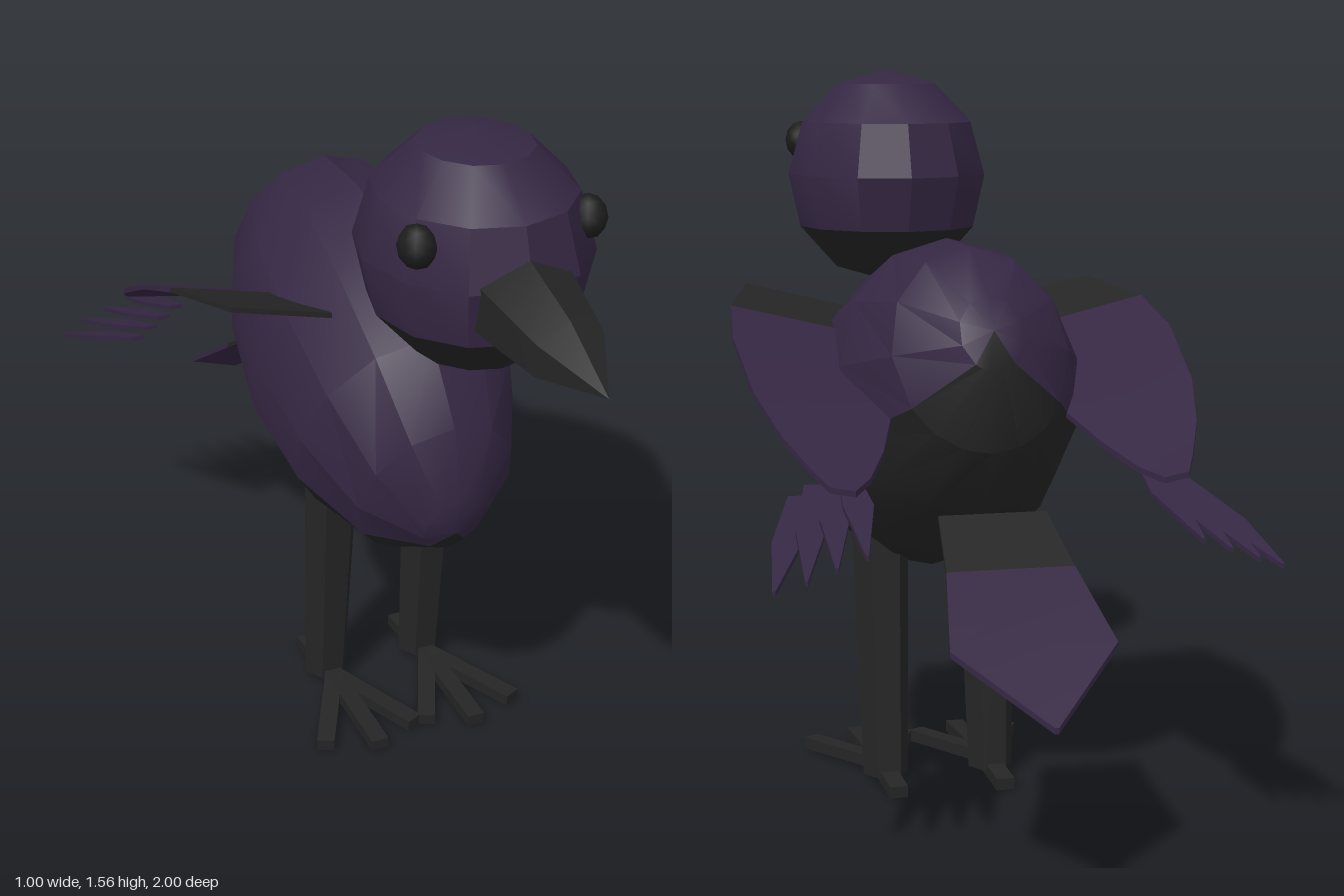
import * as THREE from 'three';
import { toCreasedNormals } from 'three/addons/utils/BufferGeometryUtils.js';

const material = (name, color) => {
  const m = new THREE.MeshStandardMaterial({ color, side: THREE.DoubleSide });
  m.name = name;
  return m;
};
const V = (x, y, z) => new THREE.Vector3(x, y, z);

// Surface through rows of points; rows run back to front, each row counter-clockwise
function skin(rows, crease = 0.5) {
  const out = [];
  const tri = (a, b, c) => {
    const n = b.clone().sub(a).cross(c.clone().sub(a));
    if (n.length() > 1e-8) [a, b, c].forEach(p => out.push(p.x, p.y, p.z));
  };
  for (let i = 0; i < rows.length - 1; i++) {
    for (let j = 0; j < rows[i].length - 1; j++) {
      const a = rows[i][j], b = rows[i][j + 1], c = rows[i + 1][j + 1], d = rows[i + 1][j];
      tri(a, b, c);
      tri(a, c, d);
    }
  }
  const g = new THREE.BufferGeometry();
  g.setAttribute('position', new THREE.Float32BufferAttribute(out, 3));
  return toCreasedNormals(g, crease);
}

// Thin plate from rows [z, x1, x2, y1, y2], mirrored by side
function plate(rows, side = 1, t = 0.006) {
  const rings = rows.map(([z, x1, x2, y1, y2]) => {
    let a = V(x1 * side, y1, z), b = V(x2 * side, y2, z);
    if (side < 0) [a, b] = [b, a];
    return [V(b.x, b.y - t, z), V(b.x, b.y + t, z), V(a.x, a.y + t, z), V(a.x, a.y - t, z), V(b.x, b.y - t, z)];
  });
  const cap = r => {
    const c = r[0].clone().add(r[2]).multiplyScalar(0.5);
    return r.map(() => c);
  };
  return skin([cap(rings[0]), ...rings, cap(rings[rings.length - 1])]);
}

export function createModel() {
  const bird = new THREE.Group();
  bird.name = 'bird';
  const purple = material('purple plumage', 0x352743);
  const black = material('black', 0x252525);
  const eyeBlack = material('eye black', 0x1c1c1c);
  const add = (name, geo, mat) => {
    const m = new THREE.Mesh(geo, mat);
    m.name = name;
    bird.add(m);
    return m;
  };

  // Body: tilted egg, [distance along axis, radius] from tail to chest
  const profile = [[0.517, 0], [0.5, 0.08], [0.4, 0.22], [0.23, 0.305], [0, 0.337],
    [-0.21, 0.303], [-0.385, 0.212], [-0.485, 0.08], [-0.505, 0]];
  const bodyRows = (belly, n) => profile.map(([s, r]) => {
    const low = -Math.asin(Math.min(0.12 / Math.max(r, 0.01), 0.8));
    const from = belly ? Math.PI - low : low;
    const to = belly ? 2 * Math.PI + low : Math.PI - low;
    return Array.from({ length: n + 1 }, (_, j) => {
      const a = from + (to - from) * j / n, t = Math.sin(a) * r;
      return V(Math.cos(a) * r * 0.84, 0.84 + 0.431 * s + 0.903 * t, -0.08 - 0.903 * s + 0.431 * t);
    });
  });
  add('bodyBack', skin(bodyRows(false, 8)), purple);
  add('bodyBelly', skin(bodyRows(true, 6)), black);

  // Head: dark throat below the crown
  const split = Math.PI * 0.655;
  const headPart = (name, rows, start, length, mat) => {
    const g = new THREE.SphereGeometry(1, 12, rows, 0, Math.PI * 2, start, length);
    g.scale(0.235, 0.247, 0.262);
    g.translate(0, 1.315, 0.43);
    add(name, toCreasedNormals(g, 0.5), mat);
  };
  headPart('crown', 4, 0, split, purple);
  headPart('throat', 2, split, Math.PI - split, black);

  // Beak: six-sided, tapering to a point; [z, centre y, half width, half height]
  const beak = [[0.6, 1.29, 0.1, 0.1], [0.67, 1.286, 0.095, 0.095], [0.84, 1.263, 0.07, 0.067], [0.995, 1.245, 0, 0]];
  add('beak', skin(beak.map(([z, y, w, h]) => Array.from({ length: 7 }, (_, j) => {
    const a = Math.PI / 6 + j * Math.PI / 3;
    return V(Math.cos(a) * w * 1.15, y + Math.sin(a) * h, z);
  })), 0.4), black);

  // Tail fan
  add('tail', plate([[-1, -0.004, 0.004, 0.378, 0.378], [-0.85, -0.165, 0.165, 0.493, 0.493],
    [-0.68, -0.13, 0.13, 0.605, 0.605]]), purple);
  add('tailBase', plate([[-0.68, -0.13, 0.13, 0.605, 0.605], [-0.54, -0.112, 0.112, 0.688, 0.688]]), black);

  // Straight bar between two points
  const bar = (name, a, b, w, h) => {
    const m = add(name, new THREE.BoxGeometry(w, h, a.distanceTo(b)), black);
    m.position.copy(a).lerp(b, 0.5);
    m.lookAt(b);
  };

  for (const side of [1, -1]) {
    const label = side > 0 ? 'left' : 'right';

    // Eye
    const eye = add(label + 'Eye', new THREE.IcosahedronGeometry(0.045, 1), eyeBlack);
    eye.position.set(0.18 * side, 1.395, 0.56);
    eye.scale.x = 0.85;

    // Wing with a dark shoulder
    add(label + 'Wing', plate([
      [-0.69, 0.31, 0.36, 0.775, 0.785], [-0.64, 0.27, 0.385, 0.79, 0.81], [-0.55, 0.225, 0.425, 0.825, 0.86],
      [-0.42, 0.18, 0.46, 0.875, 0.93], [-0.24, 0.17, 0.473, 0.945, 1.02], [-0.1, 0.165, 0.455, 1.0, 1.07]], side), purple);
    add(label + 'WingShoulder', plate([[-0.1, 0.165, 0.455, 1.0, 1.07], [0.095, 0.165, 0.39, 1.04, 1.097]], side), black);

    // Wing tip feathers, the outer ones lower
    for (let i = 0; i < 4; i++) {
      const tip = 0.497 - 0.057 * i, mid = 0.445 - 0.046 * i, base = 0.4 - 0.032 * i, y = 0.743 + 0.021 * i;
      add(label + 'Feather', plate([
        [i ? -0.87 : -0.85, tip - 0.003, tip + 0.003, y - 0.115, y - 0.115],
        [-0.7, mid - 0.03, mid + 0.03, y - 0.055, y - 0.055],
        [-0.54, base - 0.015, base + 0.015, y, y]], side, 0.005), purple);
    }

    // Leg: six-sided, leaning back towards the top
    const leg = new THREE.CylinderGeometry(0.064, 0.05, 0.55, 6, 1, false, Math.PI / 2);
    const p = leg.attributes.position;
    for (let i = 0; i < p.count; i++) p.setZ(i, p.getZ(i) + p.getY(i) * 0.095);
    leg.translate(0.12 * side, 0.298, -0.058);
    add(label + 'Leg', toCreasedNormals(leg, 0.4), black);

    // Foot: three front toes and one back toe
    const ankle = V(0.12 * side, 0.03, -0.03);
    for (const [x, z] of [[0.12, 0.245], [0.235, 0.2], [0.015, 0.2], [0.12, -0.215]]) {
      bar(label + 'Toe', ankle, V(x * side, 0.018, z), 0.04, 0.026);
    }
  }
  return bird;
}
